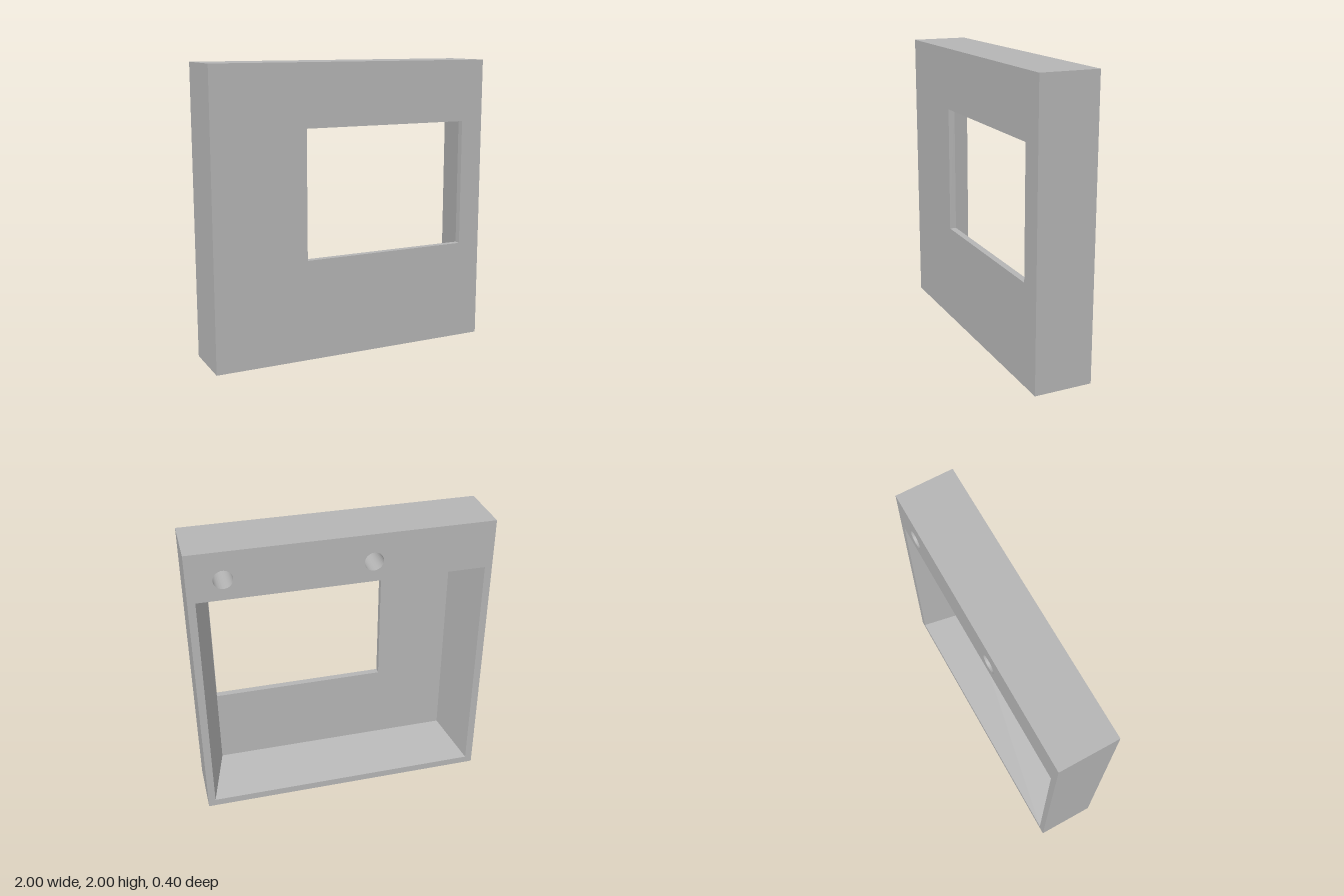
import * as THREE from 'three';
import { toCreasedNormals } from 'three/addons/utils/BufferGeometryUtils.js';

const BACK = -0.2, INNER = 0.155, FRONT = 0.2;

// Closed rectangle on any path type
function rect(path, x0, y0, x1, y1) {
  path.moveTo(x0, y0);
  path.lineTo(x1, y0);
  path.lineTo(x1, y1);
  path.lineTo(x0, y1);
  path.closePath();
  return path;
}

function extrude(shape, z0, z1) {
  const geo = new THREE.ExtrudeGeometry(shape, { depth: z1 - z0, bevelEnabled: false, curveSegments: 32 });
  return geo.translate(0, 0, z0);
}

export function createModel() {
  const grey = new THREE.MeshStandardMaterial({ color: 0xb4b4b4 });
  grey.name = 'grey';
  const group = new THREE.Group();
  group.name = 'windowedHousing';

  // Thin front plate with the off-centre window
  const plateShape = rect(new THREE.Shape(), -1, 0, 1, 2);
  plateShape.holes.push(rect(new THREE.Path(), -0.35, 0.695, 0.84, 1.575));
  const plate = new THREE.Mesh(extrude(plateShape, INNER, FRONT), grey);
  plate.name = 'frontPlate';
  group.add(plate);

  // Rear frame: open cavity and two round blind mounting holes
  const frameShape = rect(new THREE.Shape(), -1, 0, 1, 2);
  frameShape.holes.push(rect(new THREE.Path(), -0.95, 0.05, 0.95, 1.67));
  for (const x of [0.77, -0.19]) {
    const hole = new THREE.Path();
    hole.absarc(x, 1.81, 0.063, 0, Math.PI * 2, true);
    frameShape.holes.push(hole);
  }
  const geo = extrude(frameShape, BACK, INNER);

  // Taper the cavity: pull its four front corners inward
  const p = geo.attributes.position;
  for (let i = 0; i < p.count; i++) {
    const x = p.getX(i), y = p.getY(i);
    const cavityCorner = Math.abs(Math.abs(x) - 0.95) < 0.001;
    if (cavityCorner && p.getZ(i) > 0) {
      p.setX(i, Math.sign(x) * 0.842);
      p.setY(i, y < 1 ? 0.15 : 1.577);
    }
  }
  const frame = new THREE.Mesh(toCreasedNormals(geo, 0.6), grey);
  frame.name = 'rearFrame';
  group.add(frame);

  return group;
}
